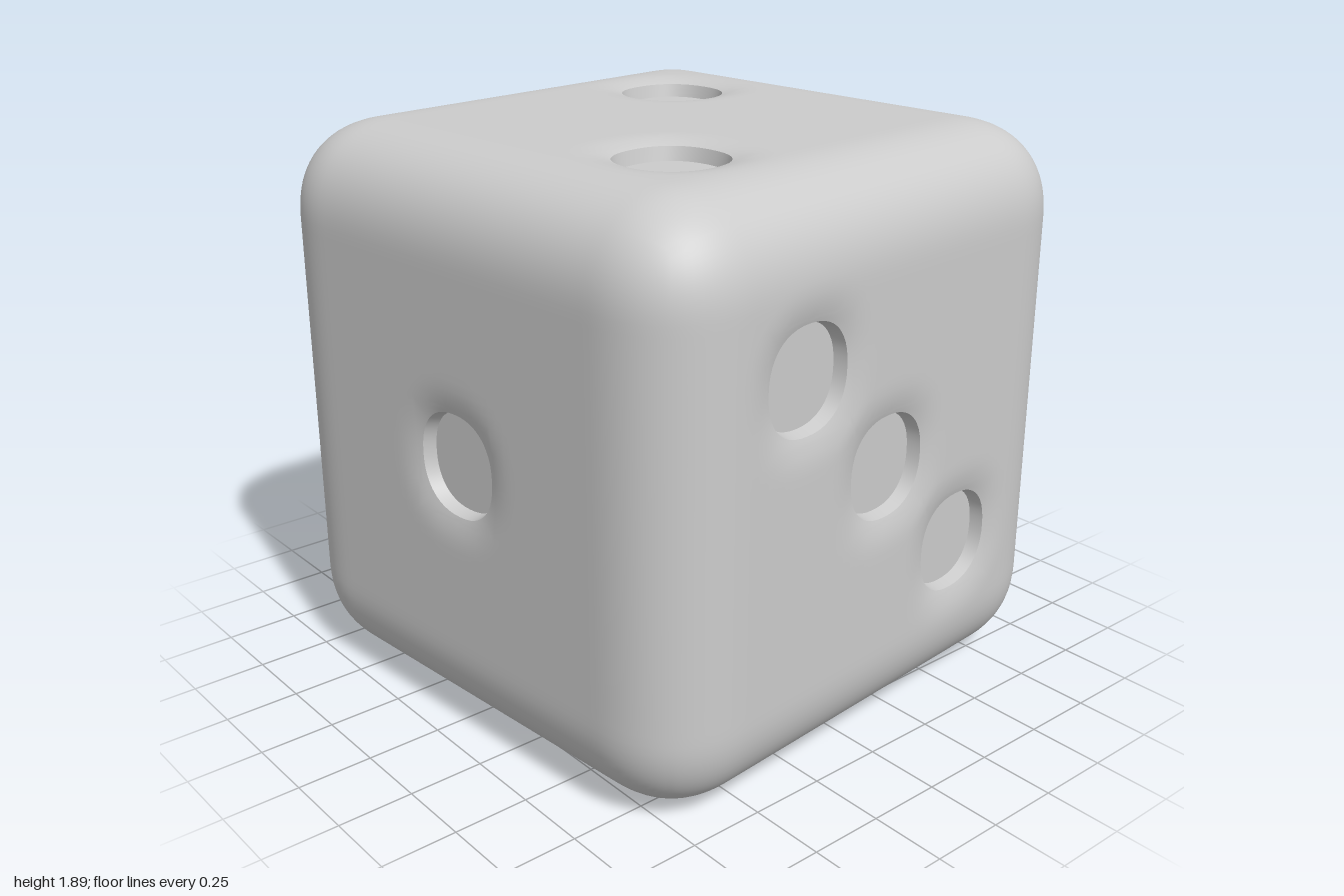
import * as THREE from 'three';
import { mergeVertices, toCreasedNormals } from 'three/addons/utils/BufferGeometryUtils.js';

const H = 0.945;      // half the cube's side
const R = 0.32;       // edge rounding
const STEP = 0.38;    // pip spacing, also the size of one cell
const PIP = 0.17;     // pip radius at the rim
const FLOOR = 0.16;   // pip radius at the floor
const DEPTH = 0.062;  // floor depth below the face
const N = 12;         // segments per cell
const BAND = 11;      // segments in the rounded border

const vec = (x, y, z) => new THREE.Vector3(x, y, z);

// Each side: its u and v axes, and its pips in cells from the centre
const SIDES = [
  { name: 'front', u: vec(1, 0, 0), v: vec(0, 1, 0), pips: [[0, 0]] },
  { name: 'back', u: vec(-1, 0, 0), v: vec(0, 1, 0), pips: [[-1, -1], [-1, 0], [-1, 1], [1, -1], [1, 0], [1, 1]] },
  { name: 'left', u: vec(0, 0, -1), v: vec(0, 1, 0), pips: [[-1, 1], [0, 0], [1, -1]] },
  { name: 'right', u: vec(0, 0, 1), v: vec(0, 1, 0), pips: [[-1, -1], [-1, 1], [1, -1], [1, 1]] },
  { name: 'top', u: vec(1, 0, 0), v: vec(0, 0, -1), pips: [[-1, 1], [1, -1]] },
  { name: 'bottom', u: vec(1, 0, 0), v: vec(0, 0, 1), pips: [[-1, -1], [-1, 1], [0, 0], [1, -1], [1, 1]] },
];

// Slightly squarish distance, used for the pip outline
const norm = (x, y, p) => (Math.abs(x) ** p + Math.abs(y) ** p) ** (1 / p);

// Soft hollow in the face around the pips
function dip(side, u, v) {
  let d = 0;
  for (const [i, j] of side.pips) {
    const r = norm(u - i * STEP, v - j * STEP, 2.3);
    const s = THREE.MathUtils.clamp((0.28 - r) / (0.28 - PIP), 0, 1);
    d = Math.max(d, 0.018 * s * s);
  }
  return d;
}

// Point in space for side coordinates (u, v) at height h
function place(side, u, v, h) {
  const n = side.u.clone().cross(side.v);
  return vec(0, 0, 0).addScaledVector(side.u, u).addScaledVector(side.v, v).addScaledVector(n, h);
}

// Point on the rounded, hollowed skin of a side
function skin(side, u, v) {
  const k = H - R;
  const cu = THREE.MathUtils.clamp(u, -k, k), cv = THREE.MathUtils.clamp(v, -k, k);
  const du = u - cu, dv = v - cv;
  const f = R / norm(norm(du, dv, 2.3), R, 2.3);
  return place(side, cu + du * f, cv + dv * f, k + R * f - dip(side, u, v));
}

const quad = (out, a, b, c, d) => out.push(a, b, c, a, c, d);

// Join neighbouring rings of points, outer ring first
function joinRings(out, rings) {
  for (let r = 0; r + 1 < rings.length; r++) {
    const a = rings[r], b = rings[r + 1];
    for (let i = 0; i < a.length; i++) {
      const j = (i + 1) % a.length;
      quad(out, a[i], a[j], b[j], b[i]);
    }
  }
}

// Counter-clockwise points round the edge of a unit cell
function cellEdge() {
  const pts = [];
  for (let s = 0; s < 4; s++) {
    for (let i = 0; i < N; i++) {
      const t = i / N - 0.5;
      pts.push([[t, -0.5], [0.5, t], [-t, 0.5], [-0.5, -t]][s]);
    }
  }
  return pts;
}

// Grid lines: rounded border, three cells, rounded border
function gridLines() {
  const inner = 1.5 * STEP, lines = [];
  for (let i = 0; i < BAND; i++) lines.push(-H + (H - inner) * i / BAND);
  for (let i = 0; i <= 3 * N; i++) lines.push(-inner + STEP * i / N);
  for (let i = 1; i <= BAND; i++) lines.push(inner + (H - inner) * i / BAND);
  return lines;
}

function toMesh(name, points, material) {
  const raw = new THREE.BufferGeometry().setFromPoints(points);
  const mesh = new THREE.Mesh(toCreasedNormals(mergeVertices(raw, 1e-5), 0.6), material);
  mesh.name = name;
  return mesh;
}

export function createModel() {
  const material = new THREE.MeshStandardMaterial({ color: 0xcccccc });
  const die = new THREE.Group();
  die.name = 'die';
  const body = [], lines = gridLines(), edge = cellEdge();
  const cell = (i) => Math.floor((i - BAND) / N) - 1;

  for (const side of SIDES) {
    // Skin of this side, leaving out the cells that hold a pip
    const grid = lines.map((u) => lines.map((v) => skin(side, u, v)));
    for (let i = 0; i + 1 < lines.length; i++) {
      for (let j = 0; j + 1 < lines.length; j++) {
        if (side.pips.some(([a, b]) => a === cell(i) && b === cell(j))) continue;
        quad(body, grid[i][j], grid[i + 1][j], grid[i + 1][j + 1], grid[i][j + 1]);
      }
    }

    const wells = [];
    for (const [a, b] of side.pips) {
      const cu = a * STEP, cv = b * STEP;
      const outline = (radius) => edge.map(([x, y]) => {
        const f = radius / norm(x, y, 2.3);
        return [cu + x * f, cv + y * f];
      });
      const rim = outline(PIP);

      // Skin between the cell's edge and the pip's rim
      const rings = [];
      for (let r = 0; r <= 4; r++) {
        rings.push(edge.map(([x, y], i) => skin(side,
          THREE.MathUtils.lerp(cu + x * STEP, rim[i][0], r / 4),
          THREE.MathUtils.lerp(cv + y * STEP, rim[i][1], r / 4))));
      }
      joinRings(body, rings);

      // Wall and flat floor of the pip
      const foot = outline(FLOOR).map(([u, v]) => place(side, u, v, H - DEPTH));
      joinRings(wells, [rings[4], foot]);
      const centre = place(side, cu, cv, H - DEPTH);
      foot.forEach((p, i) => wells.push(p, foot[(i + 1) % foot.length], centre));
    }
    die.add(toMesh(side.name + 'Pips', wells, material));
  }
  die.add(toMesh('body', body, material));

  // Stand on the ground, turned slightly
  die.position.y = H;
  die.rotation.y = 0.087;
  const model = new THREE.Group();
  model.name = 'model';
  model.add(die);
  return model;
}
